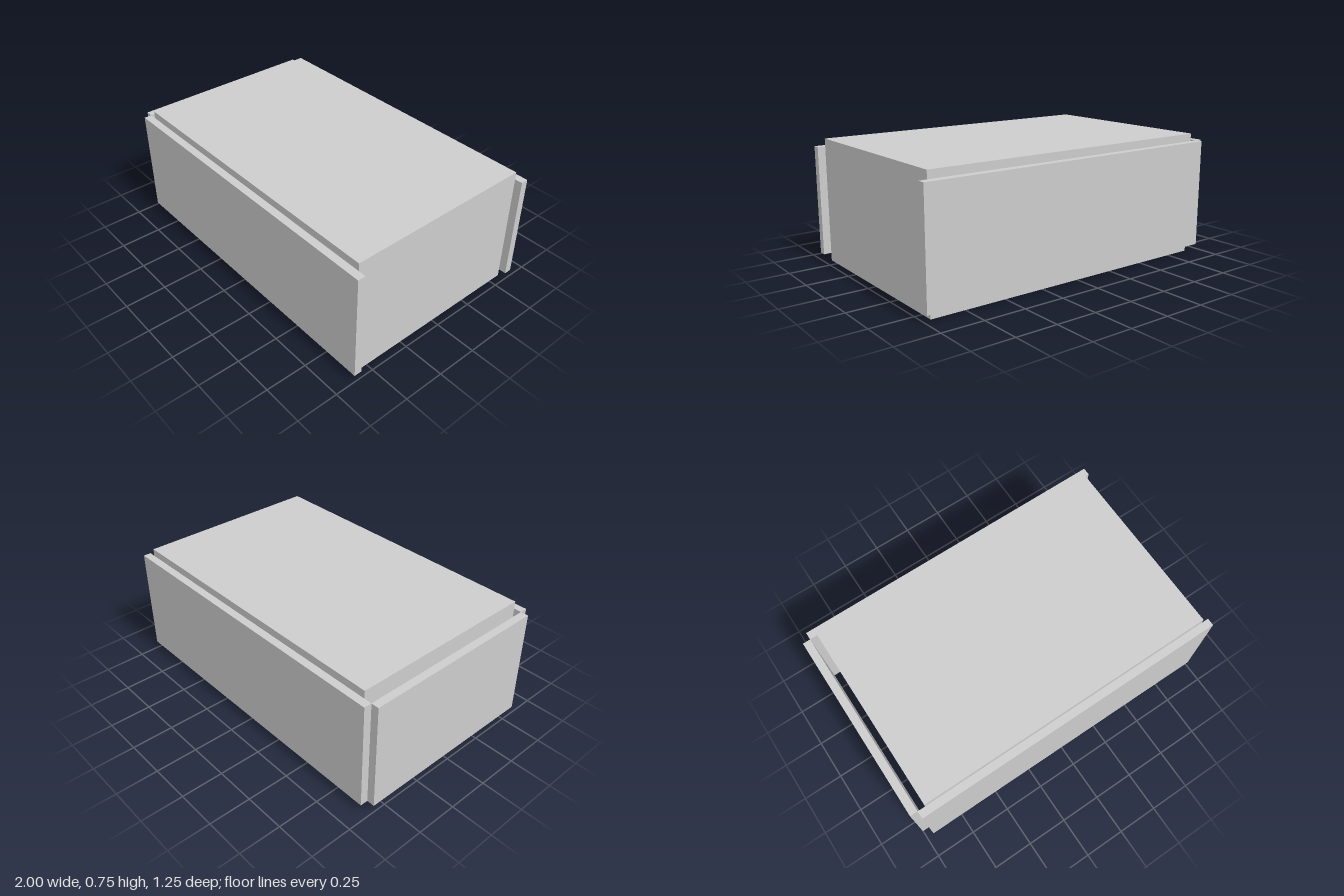
import * as THREE from 'three';

export function createModel() {
  const model = new THREE.Group();
  model.name = 'panelledBox';
  const grey = new THREE.MeshStandardMaterial({ color: 0xcccccc });
  grey.name = 'light grey';

  // Adds a box given its minimum and maximum corners
  const addBox = (name, [x0, y0, z0], [x1, y1, z1]) => {
    const mesh = new THREE.Mesh(new THREE.BoxGeometry(x1 - x0, y1 - y0, z1 - z0), grey);
    mesh.position.set((x0 + x1) / 2, (y0 + y1) / 2, (z0 + z1) / 2);
    mesh.name = name;
    model.add(mesh);
  };

  const t = 0.0465;   // board thickness
  const h = 0.746;    // overall height
  const depth = 0.581; // half depth of the core

  // Solid core block
  addBox('core', [-1 + 2 * t, 0, -depth], [1 - t, h, depth]);

  // Front and back boards, shifted to overhang the left end
  addBox('frontPanel', [-1 + t, t, depth], [1, h - t, depth + t]);
  addBox('backPanel', [-1 + t, t, -depth - t], [1, h - t, -depth]);

  // End board, standing off the core by one board thickness
  addBox('rightEndPanel', [-1, t, -depth], [-1 + t, h - t, depth]);

  return model;
}
